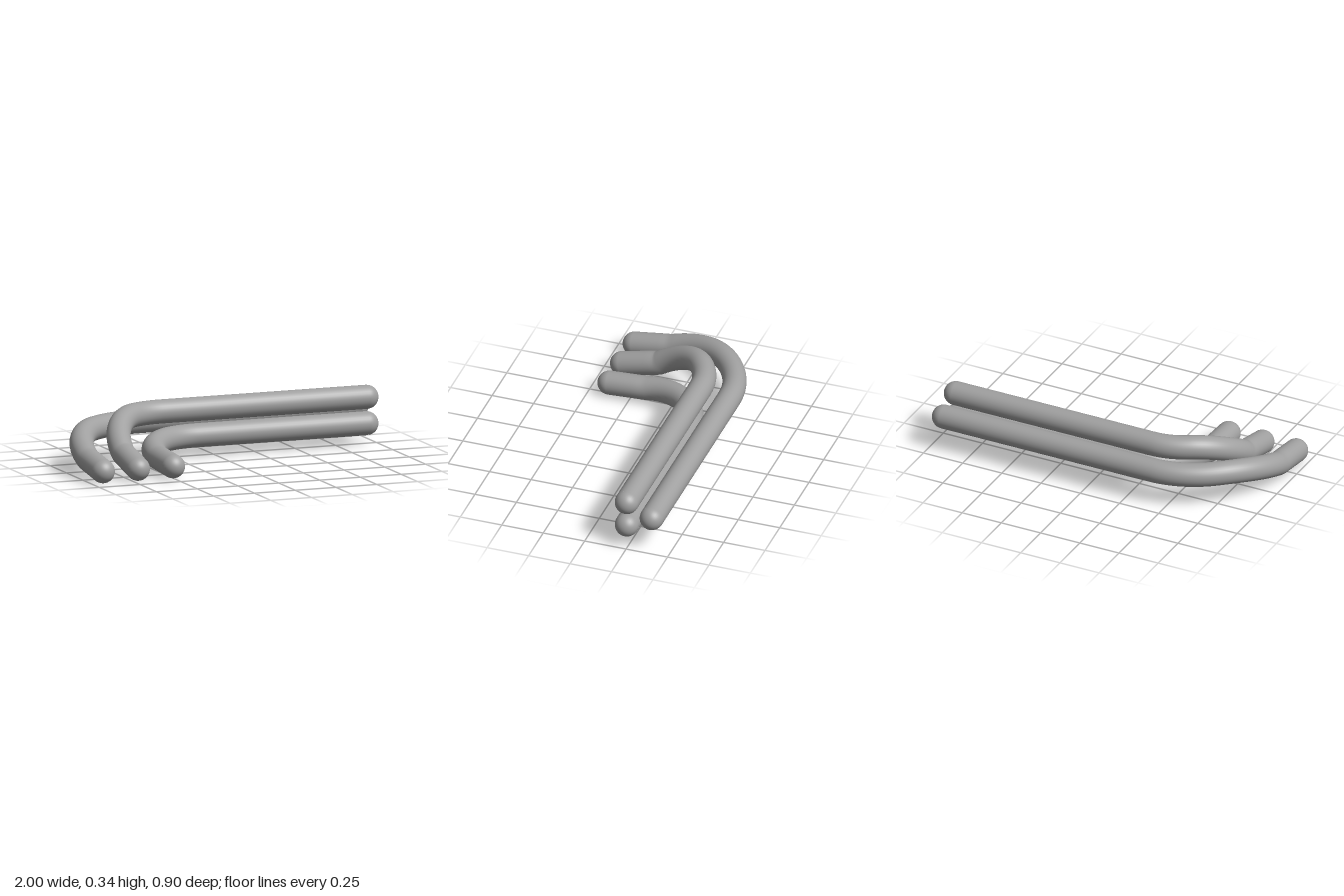
import * as THREE from 'three';

const RADIUS = 0.069;
const FRONT_Z = 0.38, BEND_Z = 0.16, FOOT_Y = 0.07, END_X = 0.93;

// Centre line: short rising leg, quarter bend that climbs early, long level run
function pipePath({ x, z, y, climb }) {
  const rx = BEND_Z - z, bendY = FOOT_Y + (y - FOOT_Y) * 0.25;
  const points = [];
  for (let i = 0; i < 4; i++) {
    const t = i / 4;
    points.push(new THREE.Vector3(x, FOOT_Y + (bendY - FOOT_Y) * t, FRONT_Z + (BEND_Z - FRONT_Z) * t));
  }
  for (let i = 0; i <= 16; i++) {
    const a = (i / 16) * Math.PI / 2;
    const rise = Math.sin(Math.min(a * climb, Math.PI / 2));
    points.push(new THREE.Vector3(
      x + rx * (1 - Math.cos(a)),
      bendY + (y - bendY) * rise,
      BEND_Z - rx * Math.sin(a)));
  }
  const startX = x + rx;
  for (let i = 1; i <= 6; i++) {
    points.push(new THREE.Vector3(startX + (END_X - startX) * i / 6, y, z));
  }
  return new THREE.CatmullRomCurve3(points, false, 'centripetal');
}

export function createModel() {
  const model = new THREE.Group();
  model.name = 'bentPipes';
  const grey = new THREE.MeshStandardMaterial({ color: 0xa0a0a0 });
  grey.name = 'grey';

  const pipes = [
    { name: 'outerPipe', x: -0.93, z: -0.38, y: 0.197, climb: 1.8 },
    { name: 'upperPipe', x: -0.715, z: -0.23, y: 0.273, climb: 1.5 },
    { name: 'lowerPipe', x: -0.5, z: -0.23, y: 0.121, climb: 1.5 },
  ];

  for (const spec of pipes) {
    const pipe = new THREE.Group();
    pipe.name = spec.name;
    const path = pipePath(spec);

    const tube = new THREE.Mesh(new THREE.TubeGeometry(path, 120, RADIUS, 32), grey);
    tube.name = 'tube';
    pipe.add(tube);

    // Rounded ends
    for (const [name, t] of [['frontCap', 0], ['sideCap', 1]]) {
      const cap = new THREE.Mesh(
        new THREE.SphereGeometry(RADIUS, 32, 12, 0, Math.PI * 2, 0, Math.PI / 2), grey);
      cap.name = name;
      cap.position.copy(path.getPointAt(t));
      const outward = path.getTangentAt(t).multiplyScalar(t ? 1 : -1);
      cap.quaternion.setFromUnitVectors(new THREE.Vector3(0, 1, 0), outward);
      pipe.add(cap);
    }
    model.add(pipe);
  }
  return model;
}
